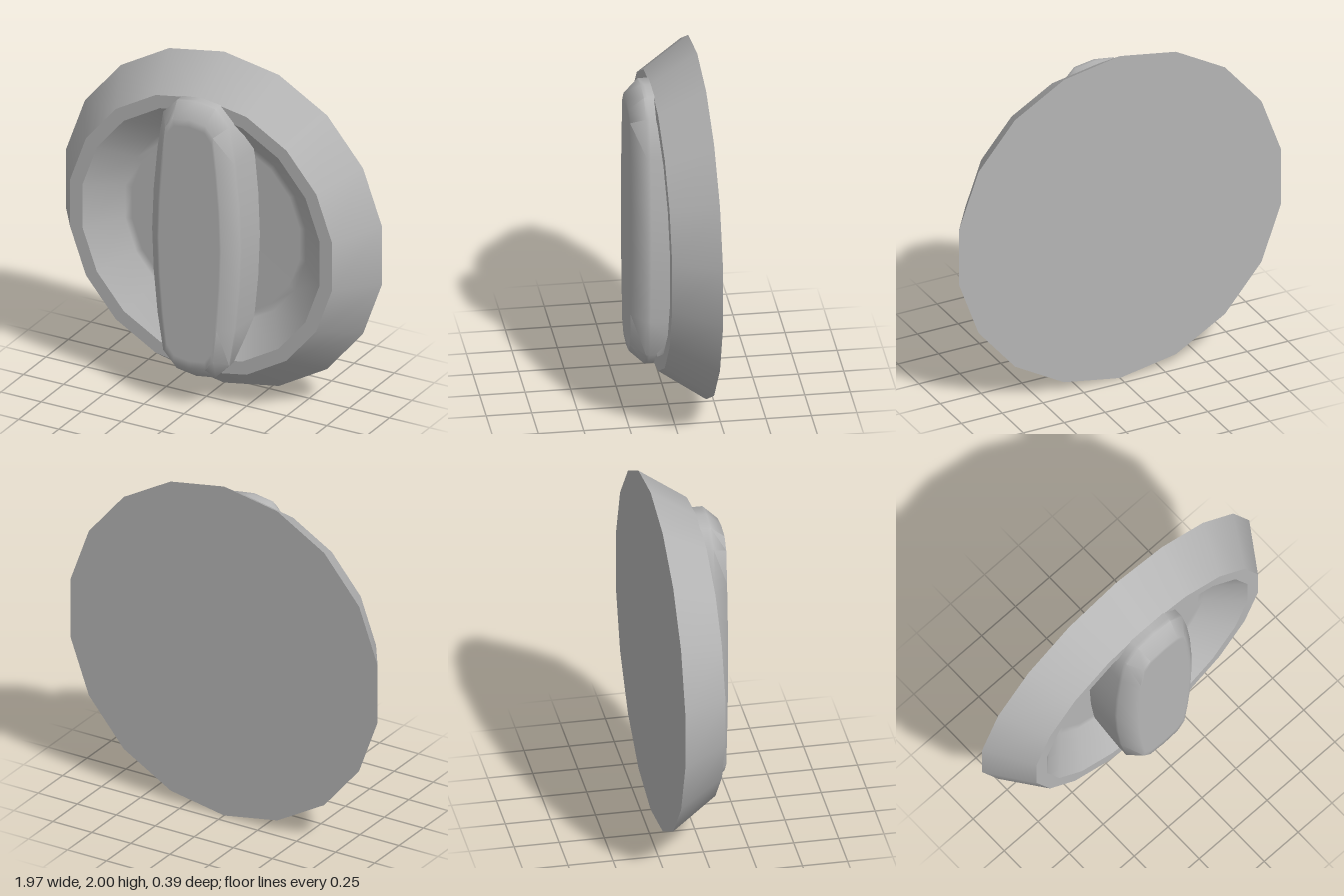
import * as THREE from 'three';
import { toCreasedNormals } from 'three/addons/utils/BufferGeometryUtils.js';

const SIDES = 18;

// Quarter outlines of the grip, from its top end to its widest point
const OUTER = [[0, 0.828], [0.12, 0.81], [0.205, 0.72], [0.24, 0.5], [0.264, 0.25], [0.274, 0]];
const INNER = [[0, 0.752], [0.1, 0.737], [0.148, 0.675], [0.172, 0.48], [0.192, 0.24], [0.2, 0]];

// Mirrors a quarter outline into a closed counterclockwise ring at depth z
function ring(quarter, z, scale = 1) {
  return Array.from({ length: 20 }, (_, i) => {
    const k = i % 10;
    const [x, y] = quarter[Math.abs(5 - k)];
    const sx = i > 5 && i < 15 ? -1 : 1;
    const sy = i > 10 ? -1 : 1;
    return [x * sx * scale, y * sy * scale, z];
  });
}

// Joins rings from back to front and closes the front with a fan
function loft(rings, tip) {
  const n = rings[0].length;
  const positions = [...rings.flat(), tip].flat();
  const index = [];
  for (let r = 0; r < rings.length; r++) {
    for (let i = 0; i < n; i++) {
      const j = (i + 1) % n;
      const a = r * n + i, b = r * n + j;
      if (r === rings.length - 1) index.push(a, b, rings.length * n);
      else index.push(a, b, b + n, a, b + n, a + n);
    }
  }
  const g = new THREE.BufferGeometry();
  g.setAttribute('position', new THREE.Float32BufferAttribute(positions, 3));
  g.setIndex(index);
  return toCreasedNormals(g, 0.9);
}

export function createModel() {
  const model = new THREE.Group();
  model.name = 'rotaryKnob';
  const grey = new THREE.MeshStandardMaterial({ color: 0xb5b5b5 });
  grey.name = 'grey';

  function add(name, geometry) {
    const mesh = new THREE.Mesh(geometry, grey);
    mesh.name = name;
    mesh.position.y = 1;
    model.add(mesh);
  }

  // Revolves a (radius, z) profile around the knob's axis
  function turned(name, profile) {
    const points = profile.map(([r, z]) => new THREE.Vector2(r, z));
    add(name, new THREE.LatheGeometry(points, SIDES).rotateX(Math.PI / 2));
  }

  // Dial: separate turned bands keep the rim edges sharp
  turned('backPlate', [[0, -0.195], [1, -0.195]]);
  turned('skirt', [[1, -0.195], [0.828, 0.06]]);
  turned('rim', [[0.828, 0.06], [0.75, 0.06]]);
  // The bowl blends smoothly into its flat floor
  turned('bowl', [[0.75, 0.06], [0.57, -0.1], [0.53, -0.105], [0, -0.105]]);

  // Raised grip with a softened bevel
  add('grip', loft([
    ring(OUTER, -0.11),
    ring(OUTER, 0.095),
    ring(OUTER, 0.115),
    ring(INNER, 0.195),
    ring(INNER, 0.195, 0.94),
  ], [0, 0, 0.195]));

  return model;
}
